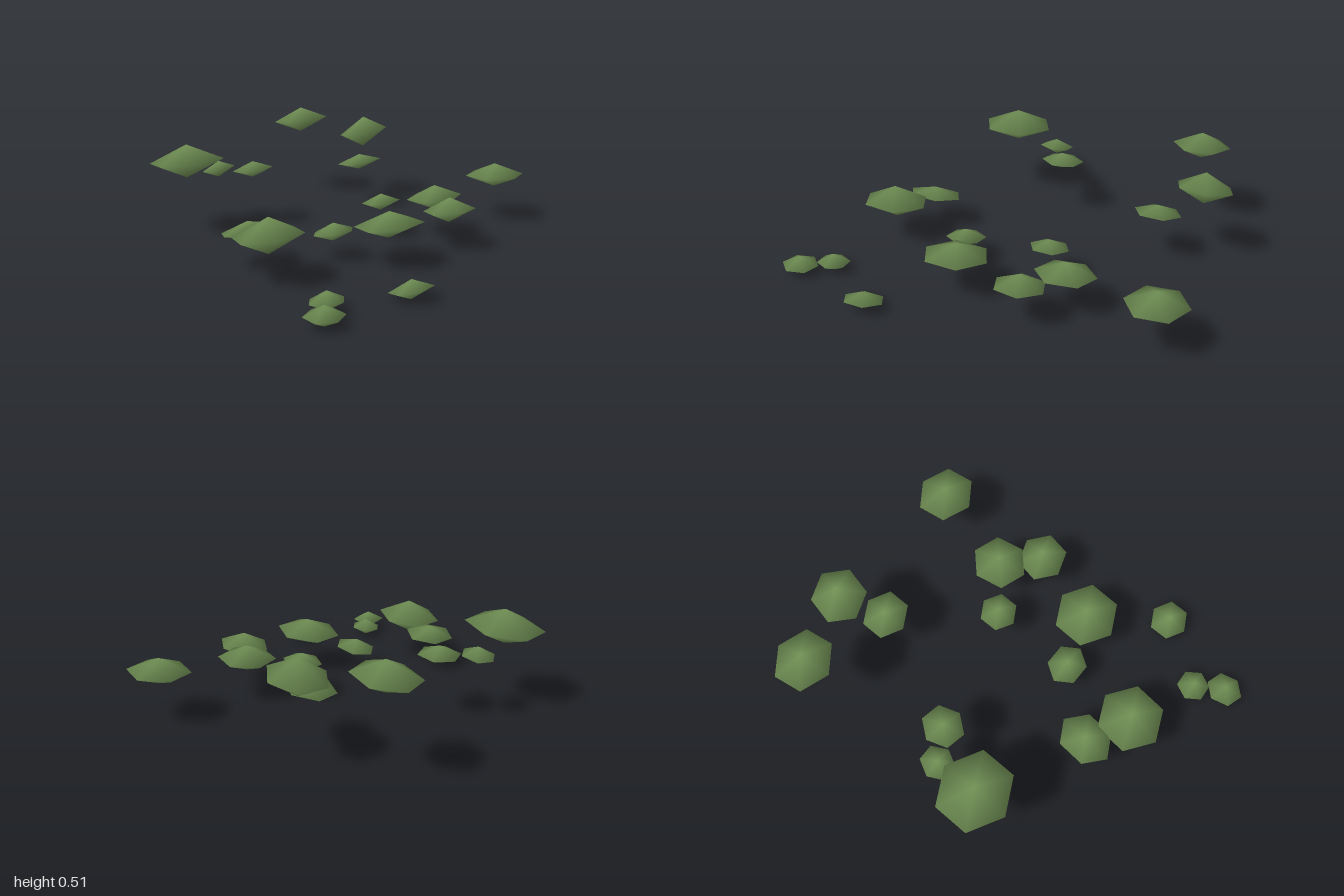
import * as THREE from 'three';

const SIDES = 6;

export function createModel() {
  const model = new THREE.Group();
  model.name = 'foliage';
  const leafGreen = new THREE.MeshStandardMaterial({ color: 0x708f54 });
  leafGreen.name = 'leafGreen';

  // A flattened six-sided clump with a tip above and below its rim.
  // w, h, d: half sizes; turn: degrees to the first rim corner; tilt: rim slope along x.
  function leafClump(x, y, z, w, h, d, turn, tilt) {
    const angles = Array.from({ length: SIDES }, (_, i) => THREE.MathUtils.degToRad(turn + i * 360 / SIDES));
    const rx = w / Math.max(...angles.map(Math.cos));
    const rz = d / Math.max(...angles.map(a => Math.abs(Math.sin(a))));
    const positions = [0, h, 0, 0, -h, 0];
    const index = [];
    angles.forEach((angle, i) => {
      const px = rx * Math.cos(angle);
      positions.push(px, tilt * px, rz * Math.sin(angle));
      const a = 2 + i, b = 2 + (i + 1) % SIDES;
      index.push(0, b, a, 1, a, b);
    });
    const geometry = new THREE.BufferGeometry();
    geometry.setAttribute('position', new THREE.Float32BufferAttribute(positions, 3));
    geometry.setIndex(index);
    geometry.computeVertexNormals();
    const mesh = new THREE.Mesh(geometry, leafGreen);
    mesh.name = 'leafClump';
    mesh.position.set(x, y, z);
    model.add(mesh);
  }

  // High clumps on the right
  leafClump(-0.70, 0.44, -0.69, 0.145, 0.07, 0.145, 21, 0.14);
  leafClump(-0.34, 0.39, -0.815, 0.13, 0.085, 0.145, 43, 0.25);
  leafClump(-0.64, 0.385, 0.335, 0.17, 0.085, 0.185, 30, 0.12);
  leafClump(-0.49, 0.30, 0, 0.10, 0.042, 0.105, 10, 0.1);
  leafClump(-0.64, 0.30, 0.10, 0.08, 0.042, 0.08, 0, 0.2);

  // Middle clumps at the back
  leafClump(-0.235, 0.26, -0.62, 0.105, 0.042, 0.12, 30, 0.2);
  leafClump(0.485, 0.24, -0.855, 0.145, 0.062, 0.145, 22, 0.05);
  leafClump(0.38, 0.20, -0.39, 0.13, 0.062, 0.145, 18, 0.1);
  leafClump(0.55, 0.195, -0.24, 0.12, 0.062, 0.125, 40, 0.15);
  leafClump(0.17, 0.18, -0.217, 0.083, 0.042, 0.10, 30, 0.15);

  // Middle clumps at the front
  leafClump(0.445, 0.195, 0.14, 0.145, 0.064, 0.165, 32, 0.13);
  leafClump(0.148, 0.217, 0.652, 0.148, 0.085, 0.168, 35, 0.15);
  leafClump(-0.065, 0.178, 0.545, 0.105, 0.042, 0.145, 35, 0.2);
  leafClump(0.19, 0.135, 0.225, 0.105, 0.044, 0.085, 0, 0.2);

  // Small low clumps at the front left
  leafClump(0.76, 0.045, 0.46, 0.085, 0.045, 0.10, 30, 0.25);
  leafClump(0.55, 0.045, 0.775, 0.08, 0.045, 0.075, 55, 0.1);
  leafClump(0.637, 0.045, 0.91, 0.083, 0.045, 0.09, 15, 0);

  return model;
}
